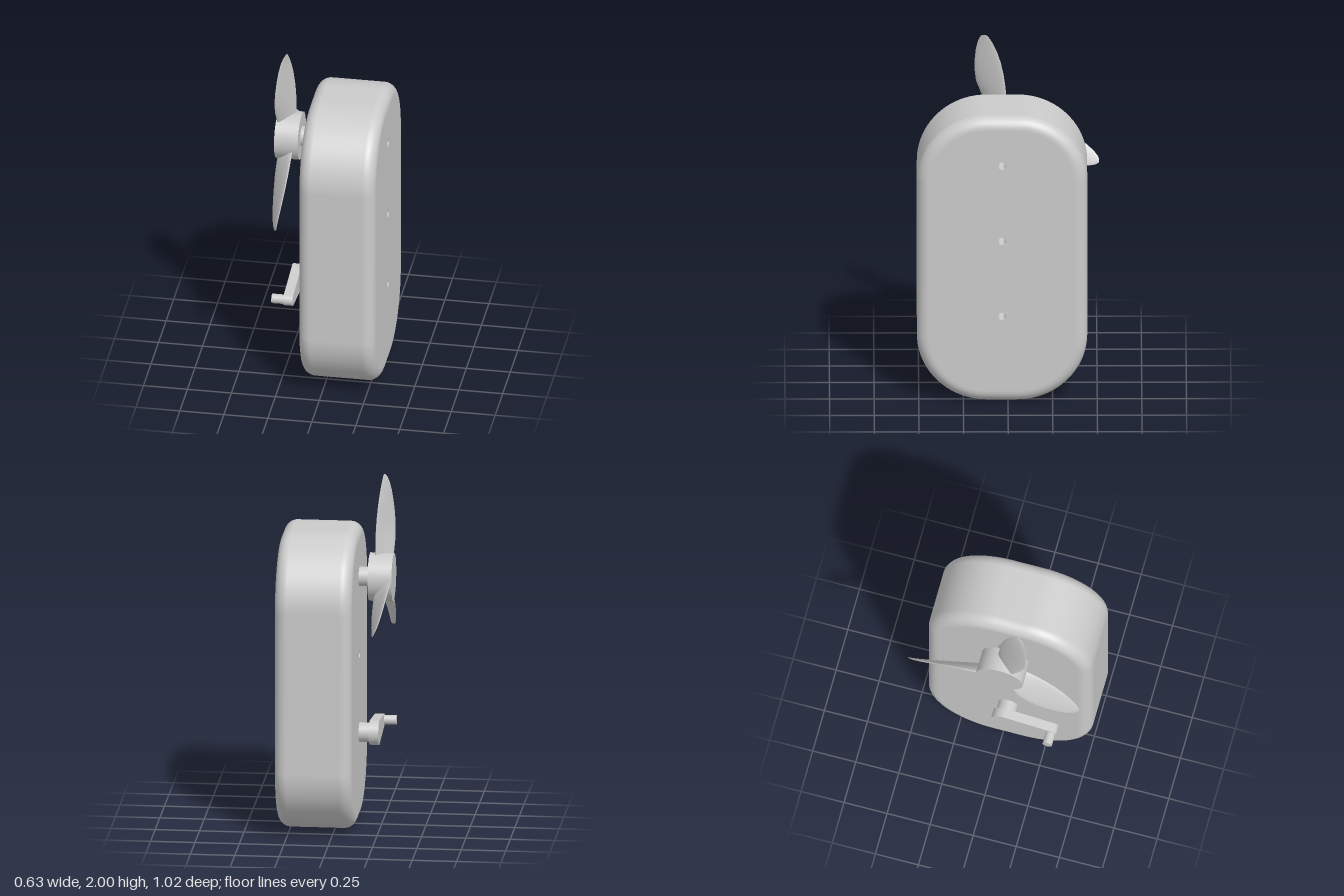
import * as THREE from 'three';

const mat = new THREE.MeshStandardMaterial({ color: 0xcccccc });
const inner = new THREE.MeshStandardMaterial({ color: 0xcccccc, side: THREE.BackSide });

function add(parent, geometry, name, material = mat) {
  const mesh = new THREE.Mesh(geometry, material);
  mesh.name = name;
  parent.add(mesh);
  return mesh;
}

// Smooth skin through closed rings of points, running counter-clockwise about the loft axis
function loft(rings) {
  const n = rings[0].length, index = [];
  for (let i = 0; i < rings.length - 1; i++) {
    for (let j = 0; j < n; j++) {
      const a = i * n + j, b = i * n + (j + 1) % n;
      index.push(a, b, a + n, b, b + n, a + n);
    }
  }
  const g = new THREE.BufferGeometry();
  g.setAttribute('position', new THREE.Float32BufferAttribute(rings.flat(2), 3));
  g.setIndex(index);
  g.computeVertexNormals();
  return g;
}

// Cylinder along x between x0 and x1
function rod(radius, x0, x1, open = false) {
  return new THREE.CylinderGeometry(radius, radius, x1 - x0, 40, 1, open)
    .rotateZ(-Math.PI / 2).translate((x0 + x1) / 2, 0, 0);
}

const X0 = -0.122, X1 = 0.312, MID_Y = 0.858;
const HALF_H = 0.855, HALF_W = 0.4775, CORNER = 0.39, FILLET = 0.068;
const TOP_Y = 1.43, LOW_Y = 0.525, HOLE_Y = [TOP_Y, 0.977, LOW_Y], HOLE_R = 0.022;

// Rounded rectangle as [y, z] pairs, shrunk by an inset
function outline(inset) {
  const pts = [];
  for (let q = 0; q < 4; q++) {
    const sy = q === 0 || q === 3 ? 1 : -1, sz = q < 2 ? 1 : -1;
    for (let k = 0; k <= 20; k++) {
      const a = (q + k / 20) * Math.PI / 2;
      pts.push([
        sy * (HALF_H - CORNER) + (CORNER - inset) * Math.cos(a),
        sz * (HALF_W - CORNER) + (CORNER - inset) * Math.sin(a),
      ]);
    }
  }
  return pts;
}

function createBody() {
  const body = new THREE.Group();
  body.name = 'body';

  // Filleted side wall
  const rings = [];
  for (const end of [0, 1]) {
    for (let k = 0; k <= 10; k++) {
      const a = (end ? k : 10 - k) / 10 * Math.PI / 2;
      const off = FILLET * (1 - Math.sin(a)), inset = FILLET * (1 - Math.cos(a));
      const x = end ? X1 - off : X0 + off;
      rings.push(outline(inset).map(([y, z]) => [x, MID_Y + y, z]));
    }
  }
  // Walk the arc angles so each end goes from the flat face into the wall
  add(body, loft(rings), 'bodyWall');

  // Flat faces pierced by three holes
  const face = new THREE.Shape(outline(FILLET).map(([y, z]) => new THREE.Vector2(z, y)));
  for (const y of HOLE_Y) {
    face.holes.push(new THREE.Path().absarc(0, y - MID_Y, HOLE_R, 0, Math.PI * 2, true));
  }
  for (const side of [1, -1]) {
    const g = new THREE.ShapeGeometry(face, 20).rotateY(side * Math.PI / 2);
    add(body, g.translate(side > 0 ? X1 : X0, MID_Y, 0), side > 0 ? 'leftFace' : 'rightFace');
  }
  for (const y of HOLE_Y) add(body, rod(HOLE_R, X0, X1, true), 'holeWall', inner).position.y = y;
  return body;
}

// Blade sections: height, leading edge z and x, trailing edge z and x, half thickness
const SECTIONS = [
  [0.08, 0.055, -0.303, -0.030, -0.214, 0.011],
  [0.14, 0.085, -0.309, -0.030, -0.214, 0.012],
  [0.20, 0.118, -0.312, -0.026, -0.214, 0.012],
  [0.27, 0.145, -0.310, -0.020, -0.216, 0.011],
  [0.34, 0.153, -0.305, -0.010, -0.220, 0.010],
  [0.41, 0.152, -0.297, 0.006, -0.226, 0.009],
  [0.47, 0.146, -0.288, 0.026, -0.233, 0.007],
  [0.52, 0.135, -0.277, 0.050, -0.240, 0.005],
  [0.55, 0.124, -0.266, 0.070, -0.245, 0.003],
  [0.565, 0.113, -0.257, 0.084, -0.248, 0.002],
  [0.57, 0.099, -0.250, 0.097, -0.250, 0.0005],
];

function bladeGeometry() {
  return loft(SECTIONS.map(([h, lz, lx, tz, tx, thick]) => {
    const cx = (lx - tx) / 2, cz = (lz - tz) / 2, len = Math.hypot(cx, cz);
    return Array.from({ length: 28 }, (_, j) => {
      const a = j / 28 * Math.PI * 2, c = Math.cos(a), s = Math.sin(a) * thick / len;
      return [(lx + tx) / 2 + cx * c + cz * s, h, (lz + tz) / 2 + cz * c - cx * s];
    });
  }));
}

function createPropeller() {
  const propeller = new THREE.Group();
  propeller.name = 'propeller';
  propeller.position.y = TOP_Y;
  add(propeller, rod(0.055, -0.19, X0), 'propellerShaft');
  add(propeller, rod(0.136, -0.315, -0.18), 'hub');
  const blade = bladeGeometry();
  for (let i = 0; i < 3; i++) add(propeller, blade, 'blade').rotation.x = i * Math.PI * 2 / 3;
  return propeller;
}

function createCrank() {
  const crank = new THREE.Group();
  crank.name = 'crank';
  crank.position.y = LOW_Y;
  add(crank, rod(0.055, -0.19, X0), 'crankShaft');

  // Tapered arm with round ends
  const reach = 0.275, big = 0.07, small = 0.033, a = Math.acos((big - small) / reach);
  const arm = new THREE.Shape();
  arm.absarc(0, 0, big, a, Math.PI * 2 - a, false);
  arm.absarc(reach, 0, small, -a, a, false);
  const g = new THREE.ExtrudeGeometry(arm, { depth: 0.054, bevelEnabled: false, curveSegments: 24 });
  add(crank, g.rotateY(-Math.PI / 2).translate(-0.18, 0, 0), 'crankArm');
  add(crank, rod(0.027, -0.302, -0.22), 'crankPin').position.z = reach;
  return crank;
}

export function createModel() {
  const model = new THREE.Group();
  model.name = 'propellerUnit';
  model.add(createBody(), createPropeller(), createCrank());
  model.position.z = 0.033;
  return model;
}
